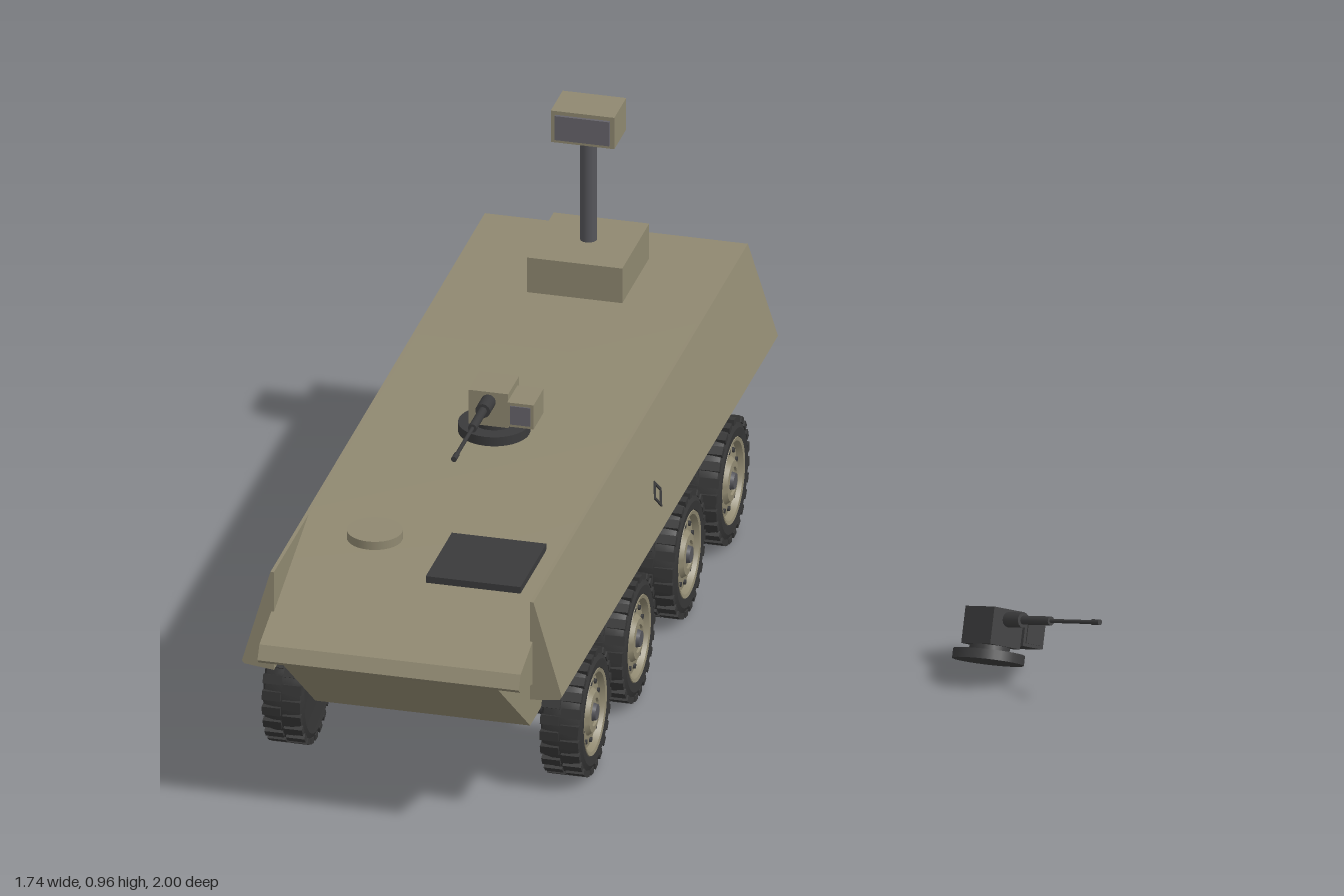
import * as THREE from 'three';
import { toCreasedNormals } from 'three/addons/utils/BufferGeometryUtils.js';

const mat = (name, color) => Object.assign(new THREE.MeshStandardMaterial({ color }), { name });
const tan = mat('armour tan', 0x8f8870);
const dark = mat('dark metal', 0x3a3a3b);
const rubber = mat('tyre rubber', 0x353535);
const steel = mat('mast steel', 0x55555a);
const lens = mat('sensor glass', 0x66646a);

function add(parent, name, geo, material, x = 0, y = 0, z = 0) {
  const m = new THREE.Mesh(geo, material);
  m.name = name;
  m.position.set(x, y, z);
  parent.add(m);
  return m;
}

// Box given by its min and max corners
function box(parent, name, material, a, b) {
  const g = new THREE.BoxGeometry(b[0] - a[0], b[1] - a[1], b[2] - a[2]);
  return add(parent, name, g, material, (a[0] + b[0]) / 2, (a[1] + b[1]) / 2, (a[2] + b[2]) / 2);
}

// Closed outline as a shape
const outline = pts => new THREE.Shape(pts.map(p => new THREE.Vector2(p[0], p[1])));

// Side profile of (z, y) points, extruded across the width
function sideProfile(pts, halfWidth) {
  const g = new THREE.ExtrudeGeometry(outline(pts), { depth: halfWidth * 2, bevelEnabled: false });
  return g.translate(0, 0, -halfWidth).rotateY(-Math.PI / 2);
}

// Lean the rear wall outward towards its foot
function leanRear(g) {
  const p = g.attributes.position;
  for (let i = 0; i < p.count; i++) {
    if (p.getZ(i) < -0.95) p.setZ(i, -0.975 - (0.55 - p.getY(i)) * 0.065);
  }
  return toCreasedNormals(g, 0.6);
}

// Rotate an axis-y geometry so that it points along +x
const alongX = g => g.rotateZ(-Math.PI / 2);
const lathe = (pts, n = 40) =>
  toCreasedNormals(new THREE.LatheGeometry(pts.map(p => new THREE.Vector2(p[0], p[1])), n), 0.5);

function makeWheel() {
  const w = new THREE.Group();
  w.name = 'wheel';
  add(w, 'tyre', alongX(lathe([[0, -0.043], [0.09, -0.043], [0.12, -0.047], [0.134, -0.04], [0.139, -0.02],
    [0.139, 0.02], [0.134, 0.04], [0.12, 0.047], [0.1, 0.045], [0.094, 0.02]])), rubber);
  add(w, 'rim', alongX(lathe([[0.1, 0.04], [0.098, 0.046], [0.09, 0.044], [0.084, 0.03], [0.054, 0.034],
    [0.046, 0.044], [0.032, 0.045], [0.03, 0.04], [0, 0.04]])), tan);
  add(w, 'hubCap', alongX(new THREE.CylinderGeometry(0.018, 0.022, 0.016, 16)), steel, 0.042);
  // Wheel bolts
  for (let i = 0; i < 10; i++) {
    const a = i / 10 * Math.PI * 2;
    add(w, 'wheelBolt', alongX(new THREE.CylinderGeometry(0.006, 0.006, 0.008, 8)), dark,
      0.033, Math.cos(a) * 0.069, Math.sin(a) * 0.069);
  }
  // Two staggered rows of tread blocks
  const block = new THREE.BoxGeometry(0.042, 0.014, 0.021);
  for (let i = 0; i < 48; i++) {
    const a = i / 48 * Math.PI * 2;
    const t = add(w, 'treadBlock', block, rubber, i % 2 ? 0.023 : -0.023,
      Math.cos(a) * 0.138, Math.sin(a) * 0.138);
    t.rotation.x = a;
  }
  return w;
}

// Remote gun station, standing on y = 0 and aiming along +z
function makeGunStation(name, body, glass) {
  const g = new THREE.Group();
  g.name = name;
  add(g, 'turretRing', new THREE.CylinderGeometry(0.08, 0.08, 0.022, 32), dark, 0, 0.011, 0);
  add(g, 'pivot', new THREE.CylinderGeometry(0.045, 0.045, 0.02, 24), dark, 0, 0.03, 0);
  box(g, 'gunHousing', body, [-0.045, 0.035, -0.045], [0.045, 0.118, 0.05]);
  box(g, 'sightHousing', body, [0.045, 0.043, -0.03], [0.105, 0.102, 0.058]);
  box(g, 'sightGlass', glass, [0.052, 0.05, 0.058], [0.098, 0.095, 0.061]);
  // Stepped barrel: collar, jacket, tube, muzzle
  for (const [part, r, z0, z1] of [['collar', 0.017, 0.05, 0.1], ['barrelJacket', 0.01, 0.1, 0.19],
    ['barrel', 0.0045, 0.19, 0.35], ['muzzle', 0.0065, 0.325, 0.35]]) {
    const geo = new THREE.CylinderGeometry(r, r, z1 - z0, 14).rotateX(Math.PI / 2);
    add(g, part, geo, dark, 0, 0.095, (z0 + z1) / 2);
  }
  return g;
}

export function createModel() {
  const model = new THREE.Group();
  model.name = 'armouredVehicle';
  const car = new THREE.Group();
  car.name = 'vehicle';
  car.position.x = -0.505;
  model.add(car);

  // Upper hull with sloping nose, and the lower hull tub
  add(car, 'upperHull', leanRear(sideProfile([[1, 0.39], [0.983, 0.421], [0.88, 0.453], [0.58, 0.55],
    [-0.975, 0.55], [-0.975, 0.31], [0.74, 0.31], [0.99, 0.38]], 0.298)), tan);
  add(car, 'lowerHull', sideProfile([[0.985, 0.38], [0.7, 0.155], [-0.84, 0.155], [-0.935, 0.32],
    [0.7, 0.32]], 0.245), tan);

  for (const s of [1, -1]) {
    const sideName = s > 0 ? 'left' : 'right';
    // Slanted side armour
    const wall = new THREE.ExtrudeGeometry(
      outline([[s * 0.292, 0.55], [s * 0.3, 0.55], [s * 0.365, 0.325], [s * 0.36, 0.318], [s * 0.292, 0.31]]),
      { depth: 1.855, bevelEnabled: false }).translate(0, 0, -0.975);
    add(car, sideName + 'SideArmour', leanRear(wall), tan);

    // Diamond outline on the side
    const d = (a, b) => [[a, 0], [0, b], [-a, 0], [0, -b]];
    const ring = outline(d(0.028, 0.032));
    ring.holes.push(outline(d(0.019, 0.022)));
    const mark = add(car, 'sideDiamond',
      new THREE.ExtrudeGeometry(ring, { depth: 0.003, bevelEnabled: false }), dark, s * 0.345, 0.395, -0.02);
    mark.rotation.set(-0.281, s * Math.PI / 2, 0, 'YXZ');

    // Rear lamps
    box(car, sideName + 'RearLamp', dark, [s * 0.315 - 0.02, 0.358, -1], [s * 0.315 + 0.02, 0.382, -0.984]);
  }

  // Four axles with a wheel on each end
  for (const z of [0.58, 0.2, -0.235, -0.615]) {
    add(car, 'axle', alongX(new THREE.CylinderGeometry(0.018, 0.018, 0.56, 16)), dark, 0, 0.146, z);
    for (const s of [1, -1]) {
      const w = makeWheel();
      w.position.set(s * 0.317, 0.146, z);
      if (s < 0) w.rotation.y = Math.PI;
      car.add(w);
    }
  }

  // Roof fittings
  add(car, 'roundHatch', new THREE.CylinderGeometry(0.062, 0.062, 0.02, 32), tan, -0.125, 0.552, 0.64);
  box(car, 'engineGrille', dark, [0.04, 0.54, 0.6], [0.256, 0.556, 0.825]);

  // Sensor mast
  const mast = new THREE.Group();
  mast.name = 'sensorMast';
  car.add(mast);
  box(mast, 'mastBase', tan, [-0.11, 0.545, -0.85], [0.108, 0.635, -0.617]);
  add(mast, 'mastPole', new THREE.CylinderGeometry(0.019, 0.019, 0.26, 20), steel, -0.002, 0.762, -0.742);
  box(mast, 'sensorHead', tan, [-0.075, 0.888, -0.795], [0.07, 0.965, -0.692]);
  box(mast, 'sensorGlass', lens, [-0.065, 0.897, -0.692], [0.06, 0.956, -0.685]);

  // Gun station on the roof
  const gun = makeGunStation('roofGunStation', tan, lens);
  gun.position.set(-0.003, 0.55, 0.07);
  car.add(gun);

  // Spare gun station lying tilted beside the vehicle
  const spare = makeGunStation('looseGunStation', dark, dark);
  const up = new THREE.Vector3(-0.017, 0.85, -0.52).normalize();
  const aim = new THREE.Vector3(0.82, 0.3, 0.48);
  const across = up.clone().cross(aim).normalize();
  aim.crossVectors(across, up);
  spare.quaternion.setFromRotationMatrix(new THREE.Matrix4().makeBasis(across, up, aim));
  spare.position.set(0.581, 0.05, -0.072);
  model.add(spare);

  return model;
}
